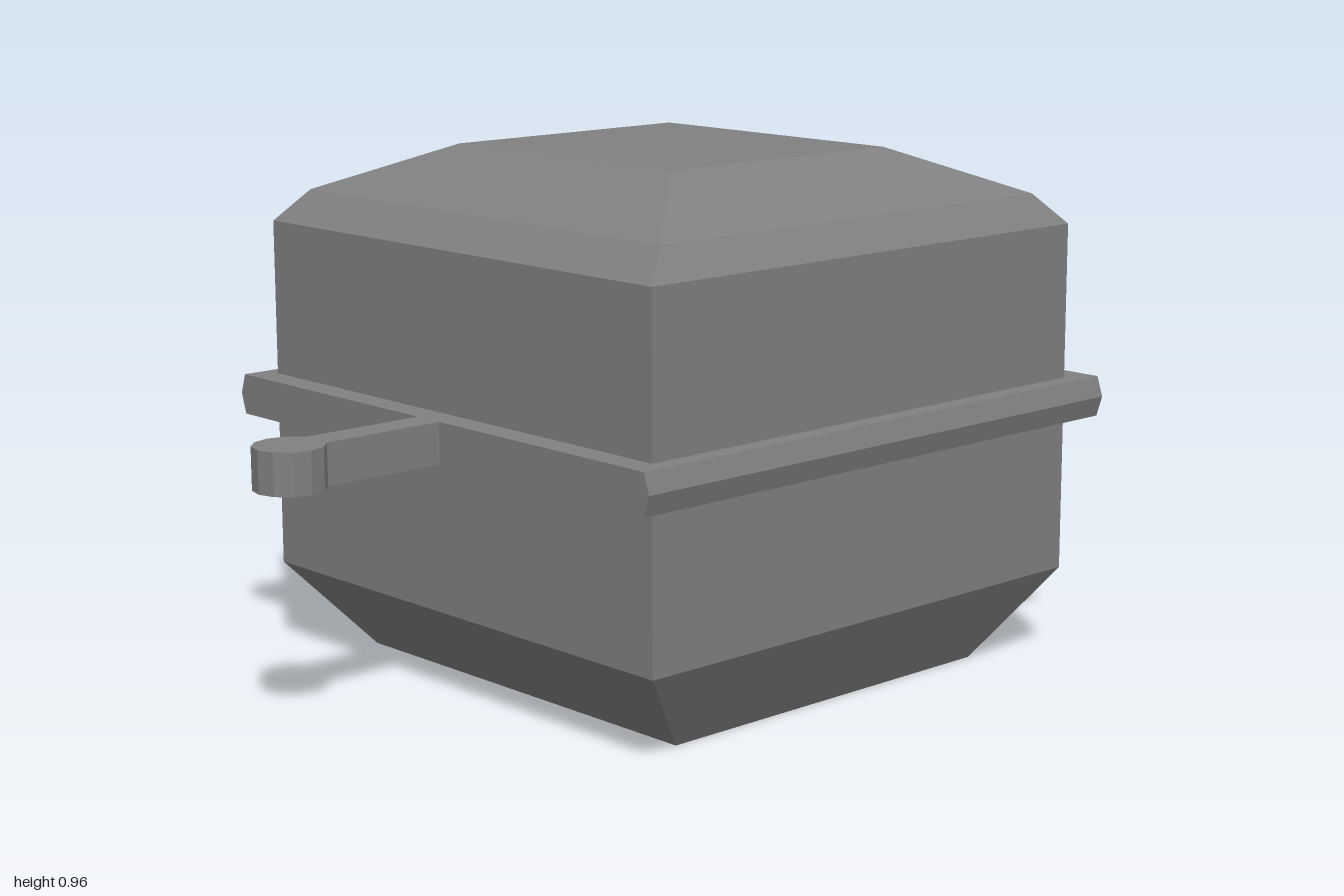
import * as THREE from 'three';

const grey = new THREE.MeshStandardMaterial({ color: 0x808080 });
grey.name = 'plain grey';

// Solid stacked from rectangles [y, xMin, xMax, zBack, zFront], bottom to top, with flat faces
function stack(sections) {
  const rings = sections.map(([y, x0, x1, z0, z1]) =>
    [[x0, y, z1], [x1, y, z1], [x1, y, z0], [x0, y, z0]]);
  const pos = [];
  const quad = (a, b, c, d) => pos.push(...a, ...b, ...c, ...a, ...c, ...d);
  for (let k = 0; k < rings.length - 1; k++) {
    const lo = rings[k], hi = rings[k + 1];
    for (let i = 0; i < 4; i++) {
      const j = (i + 1) % 4;
      quad(lo[i], lo[j], hi[j], hi[i]);
    }
  }
  quad(...[...rings[0]].reverse());
  quad(...rings[rings.length - 1]);
  const geo = new THREE.BufferGeometry();
  geo.setAttribute('position', new THREE.Float32BufferAttribute(pos, 3));
  geo.computeVertexNormals();
  return geo;
}

export function createModel() {
  const group = new THREE.Group();
  const add = (name, geo) => {
    const mesh = new THREE.Mesh(geo, grey);
    mesh.name = name;
    group.add(mesh);
    return mesh;
  };

  // Height range shared by the rim and both handles
  const low = 0.457, mid = 0.495, high = 0.532;

  // Box with a tapered base and a bevelled lid
  add('body', stack([
    [0, -0.42, 0.42, -0.3, 0.453],
    [0.168, -0.518, 0.518, -0.442, 0.595],
    [0.82, -0.518, 0.518, -0.442, 0.595],
    [0.877, -0.478, 0.478, -0.385, 0.538],
    [0.962, -0.287, 0.287, -0.19, 0.337],
  ]));

  // Rim around the middle, its sides pointed outwards
  add('rim', stack([
    [low, -0.553, 0.553, -0.497, 0.645],
    [mid, -0.565, 0.565, -0.497, 0.645],
    [high, -0.553, 0.553, -0.497, 0.645],
  ]));

  // Six-sided bar at the back, slightly off centre
  add('backHandle', stack([
    [low, -0.055, 0, -1, -0.48],
    [mid, -0.065, 0.01, -1, -0.48],
    [high, -0.055, 0, -1, -0.48],
  ]));

  // Front stem ending in a round knob
  add('frontStem', stack([
    [low, -0.03, 0.03, 0.6, 0.92],
    [high, -0.03, 0.03, 0.6, 0.92],
  ]));
  const knobGeo = new THREE.CylinderGeometry(0.063, 0.063, high - low, 12).toNonIndexed();
  knobGeo.computeVertexNormals();
  add('frontKnob', knobGeo).position.set(0, (low + high) / 2, 0.937);

  return group;
}
